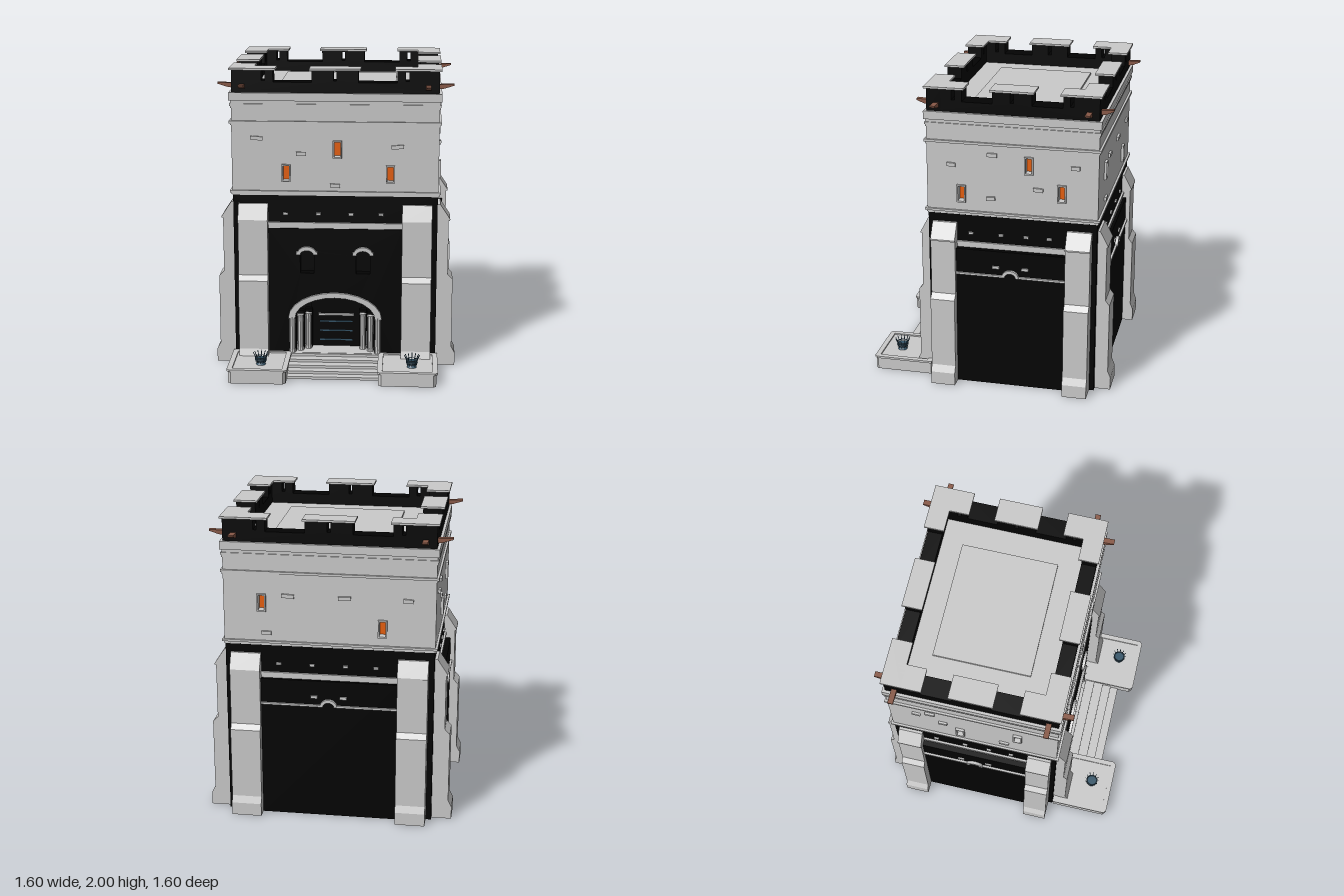
import * as THREE from 'three';

const mat = (color) => new THREE.MeshStandardMaterial({ color, flatShading: true });
const STONE = mat(0xcccccc), DARK = mat(0x030303), IRON = mat(0x35566a);
const ORANGE = mat(0xe8600c), WOOD = mat(0x8a5a48);
const HX = 0.67, HZ = 0.547, ZC = -0.147; // tower half sizes and centre

function add(parent, name, geo, material, x = 0, y = 0, z = 0) {
  const m = new THREE.Mesh(geo, material);
  m.name = name;
  m.position.set(x, y, z);
  parent.add(m);
  return m;
}

// Box given by its limits
function block(parent, name, material, x0, x1, y0, y1, z0, z1) {
  return add(parent, name, new THREE.BoxGeometry(x1 - x0, y1 - y0, z1 - z0), material,
    (x0 + x1) / 2, (y0 + y1) / 2, (z0 + z1) / 2);
}

const extrude = (shape, depth, curveSegments = 8) =>
  new THREE.ExtrudeGeometry(shape, { depth, bevelEnabled: false, curveSegments });

const poly = (pts) => new THREE.Shape(pts.map(([x, y]) => new THREE.Vector2(x, y)));

const rect = (x0, x1, y0, y1) => poly([[x0, y0], [x1, y0], [x1, y1], [x0, y1]]);

// Half ring, elliptical; t and ty are its thickness at the foot and the crown
function archGeo(rx, ry, t, ty, depth, segments) {
  const s = new THREE.Shape();
  s.moveTo(rx, 0);
  s.absellipse(0, 0, rx, ry, 0, Math.PI, false, 0);
  s.lineTo(t - rx, 0);
  s.absellipse(0, 0, rx - t, ry - ty, Math.PI, 0, true, 0);
  return extrude(s, depth, segments);
}

// Opening with an elliptical head
function archedOpening(cx, half, y0, spring, rise) {
  const p = new THREE.Path();
  p.moveTo(cx - half, y0);
  p.lineTo(cx + half, y0);
  p.lineTo(cx + half, spring);
  p.absellipse(cx, spring, half, rise, 0, Math.PI, false, 0);
  p.lineTo(cx - half, y0);
  return p;
}

// Drops the triangles lying on the ground, leaving a shell
function openBottom(geo) {
  const p = geo.attributes.position, kept = [];
  for (let i = 0; i < p.count; i += 3) {
    if (Math.max(p.getY(i), p.getY(i + 1), p.getY(i + 2)) < 1e-4) continue;
    for (let k = i; k < i + 3; k++) kept.push(p.getX(k), p.getY(k), p.getZ(k));
  }
  const shell = new THREE.BufferGeometry();
  shell.setAttribute('position', new THREE.Float32BufferAttribute(kept, 3));
  shell.computeVertexNormals();
  return shell;
}

// Stepped buttress: a side profile extruded across its width
function buttress(parent, u, width, scale) {
  const prof = [[-0.02, 0], [0.13, 0], [0.13, 0.085], [0.107, 0.13], [0.107, 0.6], [0.074, 0.635],
    [0.074, 1.0], [0.084, 1.0], [0.084, 1.01], [0.018, 1.11], [-0.02, 1.11]];
  const geo = extrude(poly(prof.map(([d, y]) => [d > 0 ? d * scale : d, y])), width);
  add(parent, 'buttress', openBottom(geo), STONE, u + width / 2).rotation.y = -Math.PI / 2;
}

// Frame around a deep window opening with a glowing pane at its back
function slitWindow(parent, u, y) {
  const frame = rect(-0.029, 0.029, -0.058, 0.058);
  frame.holes.push(rect(-0.02, 0.02, -0.049, 0.049));
  add(parent, 'windowFrame', extrude(frame, 0.02), STONE, u, y, 0);
  block(parent, 'windowGlow', ORANGE, u - 0.024, u + 0.024, y - 0.053, y + 0.053, -0.055, -0.035);
}

// Crenellated parapet with arrow slits, caps and drain spouts, for one face
function parapet(parent, h, gap, mid, slit, thick, capIn, spoutAt, spoutLength) {
  const s = poly([[-h, 1.84], [h, 1.84], [h, 1.99], [gap, 1.99], [gap, 1.91], [mid, 1.91], [mid, 1.99],
    [-mid, 1.99], [-mid, 1.91], [-gap, 1.91], [-gap, 1.99], [-h, 1.99]]);
  for (const u of [-slit, 0, slit]) s.holes.push(rect(u - 0.011, u + 0.011, 1.92, 1.98));
  add(parent, 'parapet', extrude(s, thick), DARK, 0, 0, -thick);
  for (const [a, b] of [[-h - 0.015, -gap + 0.015], [-mid - 0.015, mid + 0.015], [gap - 0.015, h + 0.015]])
    block(parent, 'merlonCap', STONE, a, b, 1.987, 2.0, -capIn, 0.015);
  const spout = poly([[-0.03, 1.862], [0.03, 1.87], [spoutLength, 1.89], [spoutLength, 1.9], [-0.03, 1.895]]);
  for (const u of [-spoutAt, spoutAt])
    add(parent, 'spout', extrude(spout, 0.034), WOOD, u + 0.017).rotation.y = -Math.PI / 2;
}

function brazier(parent, x, z) {
  const g = new THREE.Group();
  g.name = 'brazier';
  g.position.set(x, 0.085, z);
  parent.add(g);
  add(g, 'bowl', new THREE.CylinderGeometry(0.034, 0.026, 0.025, 12), IRON, 0, 0.03);
  add(g, 'foot', new THREE.CylinderGeometry(0.02, 0.032, 0.018, 12), IRON, 0, 0.009);
  for (const y of [0.032, 0.05])
    add(g, 'hoop', new THREE.TorusGeometry(0.037, 0.003, 4, 16), IRON, 0, y).rotation.x = Math.PI / 2;
  for (let i = 0; i < 12; i++) {
    const a = (i / 12) * Math.PI * 2;
    const path = new THREE.CatmullRomCurve3([[0.032, 0.015], [0.037, 0.05], [0.05, 0.08]]
      .map(([r, y]) => new THREE.Vector3(r * Math.cos(a), y, r * Math.sin(a))));
    add(g, 'spike', new THREE.TubeGeometry(path, 4, 0.0025, 4), IRON);
  }
}

// Terrace beside the steps: hollow chamfered base, sunken floor and raised rim
function terrace(parent, side) {
  const g = new THREE.Group();
  g.name = 'terrace';
  g.position.set(side * 0.487, 0, 0.6);
  parent.add(g);
  const layer = (name, w, d, y, h, hollow) => {
    const c = 0.018;
    const s = poly([[-w, -d], [w, -d], [w, d - c], [w - c, d], [-w + c, d], [-w, d - c]]);
    if (hollow) s.holes.push(rect(-0.162, 0.162, -0.165, 0.165));
    add(g, name, extrude(s, h).rotateX(-Math.PI / 2).rotateY(Math.PI), STONE, 0, y);
  };
  layer('terraceBase', 0.187, 0.193, 0, 0.08, true);
  layer('terraceFloor', 0.18, 0.186, 0.068, 0.017, false);
  layer('terraceRim', 0.196, 0.198, 0.08, 0.014, true);
}

export function createModel() {
  const root = new THREE.Group();
  root.name = 'gateTower';

  // Four face groups: local x runs along the wall, local z points outward
  const faces = ['front', 'right', 'back', 'left'].map((name, i) => {
    const g = new THREE.Group();
    g.name = name + 'Face';
    const a = (i * Math.PI) / 2;
    g.rotation.y = a;
    g.position.set(Math.sin(a) * HX, 0, ZC + Math.cos(a) * HZ);
    root.add(g);
    return g;
  });

  // Window and loose brick positions for each face: [along wall, height]
  const windows = [
    [[0.015, 1.475], [-0.32, 1.315], [0.36, 1.315]],
    [[0.11, 1.525], [-0.327, 1.31], [0.32, 1.355]],
    [[-0.43, 1.45], [0.34, 1.31]],
    [[-0.09, 1.33], [0.29, 1.46]],
  ];
  const bricks = [
    [[-0.51, 1.545], [-0.22, 1.445], [0.405, 1.495], [0, 1.235]],
    [[-0.39, 1.5], [-0.125, 1.58], [-0.135, 1.29], [0.17, 1.37], [0.405, 1.53]],
    [[-0.26, 1.5], [-0.4, 1.25], [0.1, 1.5], [0.5, 1.5]],
    [[-0.37, 1.52], [-0.28, 1.57], [-0.2, 1.44], [0.2, 1.3]],
  ];

  faces.forEach((f, i) => {
    const onX = i % 2 === 1; // side faces
    const h = onX ? HZ : HX;
    const bw = onX ? 0.16 : 0.195, bu = onX ? 0.437 : 0.5375, scale = onX ? 1 : 0.8;
    const inner = bu - bw / 2, panelOut = onX ? 0.045 : i ? 0.03 : 0.016;

    // Lower wall and a thicker panel between the buttresses, with openings at the front
    const wall = rect(-h, h, 0, 1.175), panel = rect(-inner, inner, 0, 0.945);
    if (i === 0) {
      for (const s of [wall, panel]) {
        s.holes.push(archedOpening(0, 0.28, 0.02, 0.33, 0.15));
        for (const u of [-0.185, 0.185]) s.holes.push(archedOpening(u, 0.045, 0.64, 0.76, 0.045));
      }
      block(f, 'windowBack', DARK, -0.25, 0.25, 0.62, 0.83, -0.07, -0.05);
    }
    add(f, 'lowerWall', extrude(wall, 0.05), DARK, 0, 0, -0.05);
    add(f, 'wallPanel', extrude(panel, panelOut), DARK);
    for (const s of [-1, 1]) buttress(f, s * bu, bw, scale);

    // String course with a row of small stones above it
    block(f, 'stringCourse', STONE, -inner, inner, 0.945, 0.968, -0.01, 0.009);
    block(f, 'stringCourseTop', STONE, -inner, inner, 0.968, 0.985, -0.01, 0.014);
    for (const u of onX ? [-0.267, -0.07, 0.093, 0.243] : [-0.325, -0.11, 0.105, 0.3])
      block(f, 'smallStone', STONE, u - 0.016, u + 0.016, 1.035, 1.05, -0.01, 0.012);
    if (i > 0) {
      for (const s of [-1, 1]) {
        const [a, b] = s < 0 ? [-inner, -0.04] : [0.04, inner];
        block(f, 'lowerCourse', STONE, a, b, 0.772, 0.785, 0, panelOut + 0.014);
        block(f, 'brick', STONE, s * 0.095 - 0.022, s * 0.095 + 0.022, 0.828, 0.846, 0, panelOut + 0.01);
      }
      add(f, 'hood', archGeo(0.056, 0.05, 0.02, 0.02, panelOut + 0.02, 8), STONE, 0, 0.775);
    } else {
      for (const u of [-0.185, 0.185]) {
        add(f, 'windowHood', archGeo(0.066, 0.055, 0.022, 0.026, 0.035, 8), STONE, u, 0.77);
        for (const s of [-1, 1])
          block(f, 'hoodStop', STONE, u + s * 0.056 - 0.014, u + s * 0.056 + 0.014, 0.77, 0.79, 0, 0.035);
      }
    }

    // Upper wall with window openings and loose bricks
    const upper = rect(-h - 0.004, h + 0.004, 1.165, 1.84);
    for (const [u, y] of windows[i]) {
      upper.holes.push(rect(u - 0.02, u + 0.02, y - 0.049, y + 0.049));
      slitWindow(f, u, y);
    }
    add(f, 'upperWall', extrude(upper, 0.05), STONE, 0, 0, -0.046);
    bricks[i].forEach(([u, y], k) => {
      const w = k % 2 ? 0.032 : 0.04 - 0.012 * onX;
      const b = block(f, 'brick', STONE, u - w, u + w, y - 0.012, y + 0.012, 0, 0.018);
      b.rotation.z = (k % 3 - 1) * 0.06;
    });
    parapet(f, h, onX ? 0.32 : 0.4, onX ? 0.125 : 0.15, onX ? 0.375 : 0.465,
      onX ? 0.125 : 0.095, onX ? 0.14 : 0.115, onX ? 0.485 : 0.6, onX ? 0.095 : 0.078);
  });

  // Moulding bands of the upper storey: [bottom, top, overhang]
  for (const [y0, y1, o] of [[1.17, 1.183, 0.009], [1.183, 1.197, 0.018], [1.628, 1.642, 0.01],
    [1.642, 1.658, 0.018], [1.74, 1.755, 0.009], [1.755, 1.77, 0.014], [1.77, 1.79, 0.007], [1.79, 1.842, 0.018]])
    block(root, 'moulding', STONE, -HX - o, HX + o, y0, y1, ZC - HZ - o, ZC + HZ + o);
  block(root, 'roofPanel', STONE, -0.385, 0.385, 1.835, 1.856, -0.465, 0.16);

  // Portal: arch, stepped jambs with columns, and a barred door
  const front = faces[0];
  add(front, 'portalArch', archGeo(0.312, 0.18, 0.045, 0.034, 0.06, 6), STONE, 0, 0.33, -0.025);
  block(front, 'portalFloor', STONE, -0.28, 0.28, 0.06, 0.09, -0.15, 0.03);
  for (const s of [-1, 1]) [[0.285, 0.014], [0.235, -0.03], [0.183, -0.07]].forEach(([x, z]) => {
    block(front, 'jamb', DARK, s * x - 0.024, s * x + 0.024, 0.05, 0.36, z - 0.06, z - 0.012);
    add(front, 'column', new THREE.CylinderGeometry(0.02, 0.02, 0.25, 10), STONE, s * x, 0.215, z);
    add(front, 'columnBase', new THREE.CylinderGeometry(0.021, 0.023, 0.02, 10), STONE, s * x, 0.1, z);
    add(front, 'capital', new THREE.CylinderGeometry(0.024, 0.021, 0.02, 10), STONE, s * x, 0.33, z);
  });
  block(front, 'door', DARK, -0.17, 0.17, 0.09, 0.5, -0.15, -0.12);
  block(front, 'doorLintel', STONE, -0.12, 0.12, 0.31, 0.322, -0.13, -0.1);
  for (const y of [0.135, 0.2, 0.265]) block(front, 'doorStrap', IRON, -0.11, 0.11, y - 0.004, y + 0.004, -0.13, -0.114);

  // Entrance steps, terraces and braziers
  [0.69, 0.635, 0.575, 0.51, 0.445].forEach((z, i) =>
    block(root, 'step', STONE, -0.31, 0.31, i * 0.0175, (i + 1) * 0.0175, z - 0.075, z));
  for (const s of [-1, 1]) terrace(root, s);
  brazier(root, -0.473, 0.65);
  brazier(root, 0.515, 0.65);
  return root;
}
